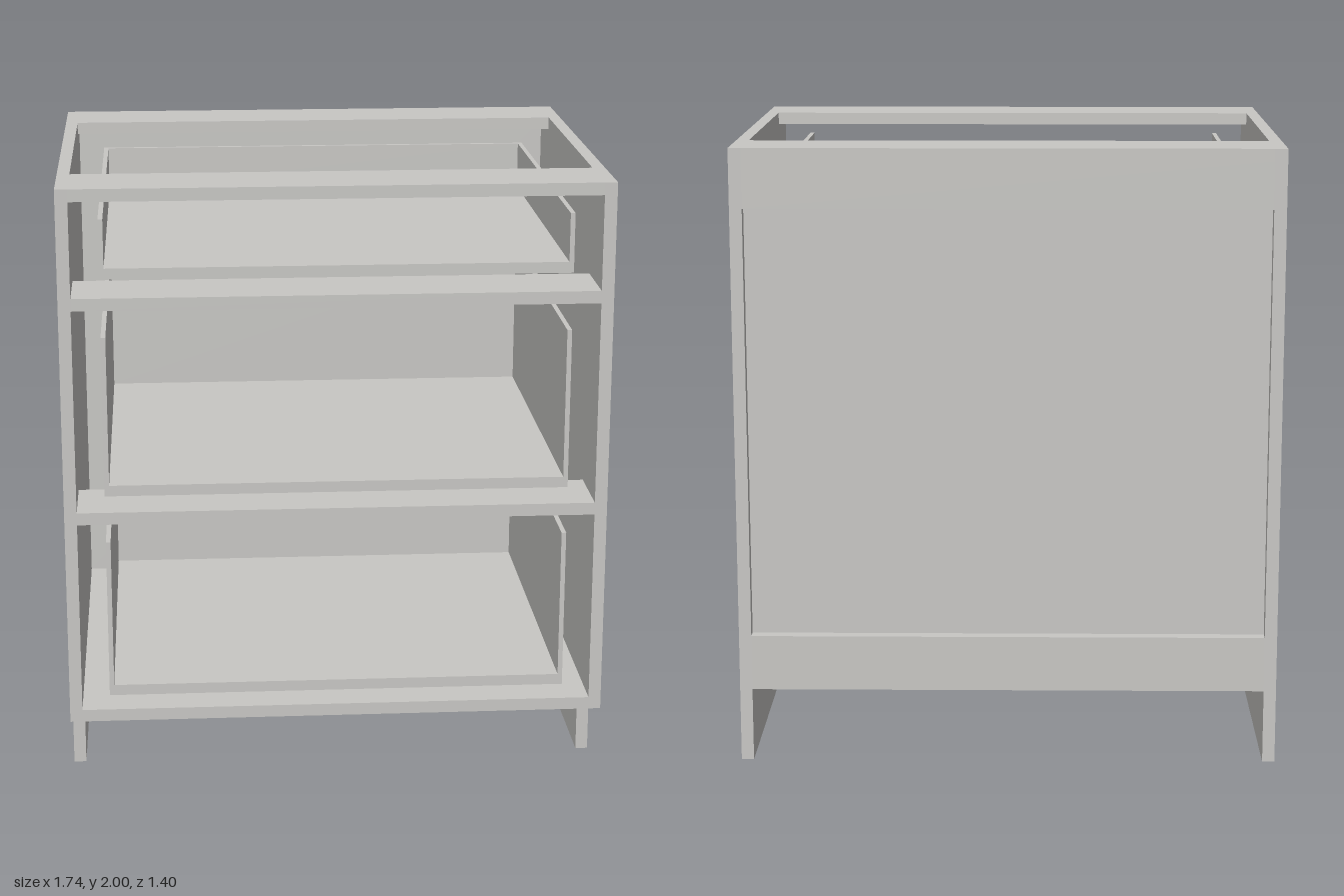
import * as THREE from 'three';

const T = 0.04;        // carcass board thickness
const W = 0.87;        // half width
const IN = W - T;      // half width inside the side panels
const D = 0.7;         // half depth

export function createModel() {
  const cabinet = new THREE.Group();
  cabinet.name = 'drawerCabinet';
  const paint = new THREE.MeshStandardMaterial({ color: 0xc8c7c4 });
  paint.name = 'paleGrey';

  // board given by its low and high limits on each axis
  const board = (name, [x0, x1], [y0, y1], [z0, z1], parent = cabinet) => {
    const mesh = new THREE.Mesh(new THREE.BoxGeometry(x1 - x0, y1 - y0, z1 - z0), paint);
    mesh.position.set((x0 + x1) / 2, (y0 + y1) / 2, (z0 + z1) / 2);
    mesh.name = name;
    parent.add(mesh);
  };
  const inside = [-IN, IN];

  // side panels with a toe-kick notch; shape x runs along world z
  const outline = new THREE.Shape([
    [-D, 0], [0.48, 0], [0.48, 0.24], [D, 0.24], [D, 2], [-D, 2],
  ].map(([z, y]) => new THREE.Vector2(-z, y)).reverse());
  for (const [name, x] of [['leftSide', IN], ['rightSide', -W]]) {
    const geometry = new THREE.ExtrudeGeometry(outline, { depth: T, bevelEnabled: false });
    geometry.rotateY(Math.PI / 2);
    const side = new THREE.Mesh(geometry, paint);
    side.position.x = x;
    side.name = name;
    cabinet.add(side);
  }

  // floor, top stretchers and front rails between drawers
  board('cabinetFloor', inside, [0.24, 0.28], [-D, D]);
  board('topFrontStretcher', inside, [1.96, 2], [0.46, D]);
  board('topBackStretcher', inside, [1.96, 2], [-D, -0.47]);
  board('lowerRail', inside, [0.915, 0.955], [0.46, D]);
  board('upperRail', inside, [1.615, 1.655], [0.46, D]);

  // recessed back panel with flush rails above and below
  board('backPanel', inside, [0.28, 1.96], [-0.66, -0.645]);
  board('backTopRail', inside, [1.81, 1.96], [-D, -0.66]);
  board('backBottomRail', inside, [0.28, 0.42], [-D, -0.66]);

  // open-fronted drawer boxes
  const drawers = [['bottomDrawer', 0.33, 0.855], ['middleDrawer', 1.01, 1.53], ['topDrawer', 1.715, 1.905]];
  for (const [name, y0, y1] of drawers) {
    const drawer = new THREE.Group();
    drawer.name = name;
    const floorTop = y0 + 0.035;
    board('drawerFloor', [-0.74, 0.74], [y0, floorTop], [-0.505, D], drawer);
    board('drawerLeftSide', [0.725, 0.74], [floorTop, y1], [-0.505, D], drawer);
    board('drawerRightSide', [-0.74, -0.725], [floorTop, y1], [-0.505, D], drawer);
    board('drawerBack', [-0.725, 0.725], [floorTop, y1], [-0.505, -0.49], drawer);
    cabinet.add(drawer);
  }

  return cabinet;
}
